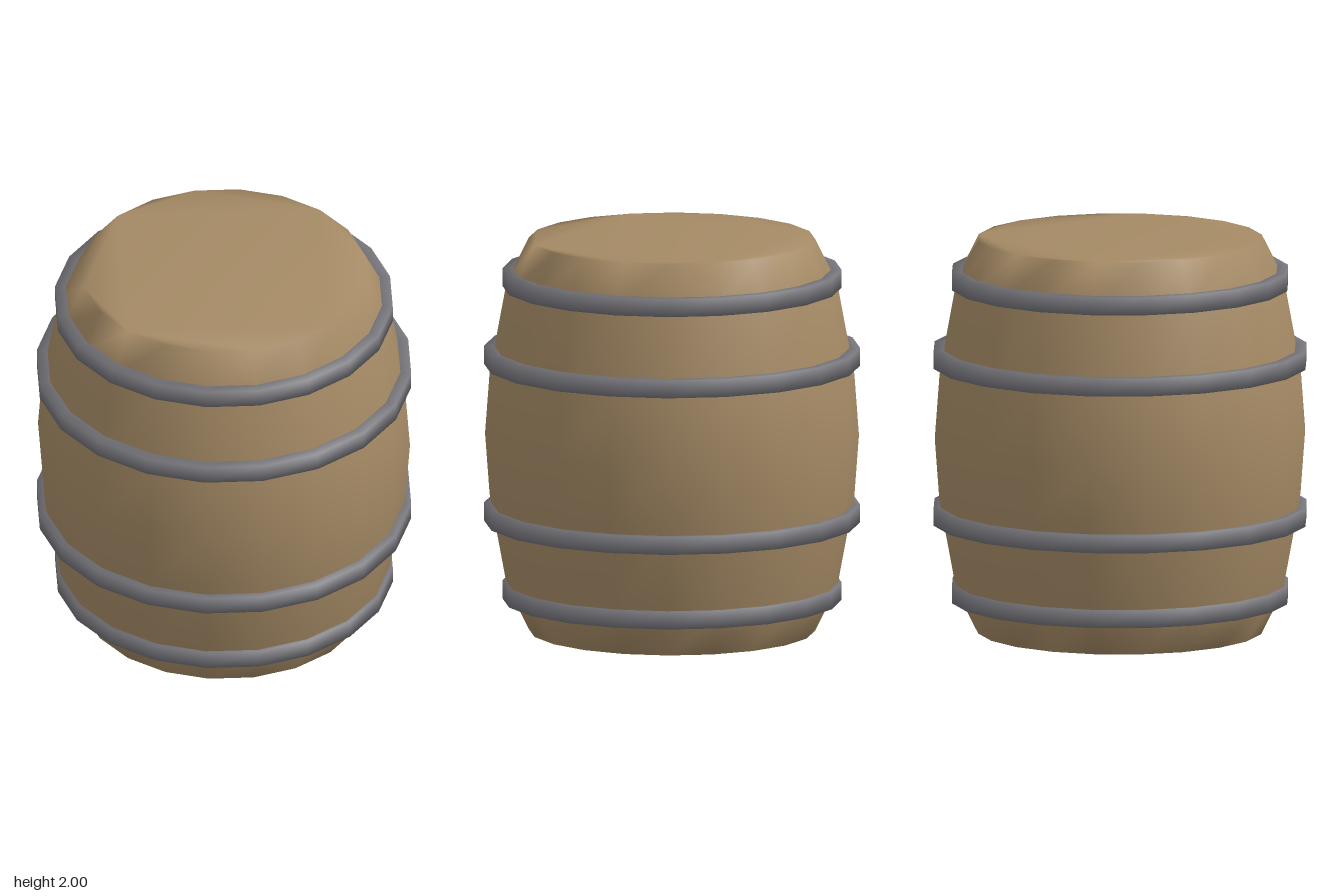
import * as THREE from 'three';

const SIDES = 20;

// Revolves a profile of [radius, y] points with shared vertices, so shading is smooth.
// A closed profile makes a ring; an open one (listed bottom to top) is capped at both ends.
function revolve(profile, closed) {
  const positions = [], index = [];
  const n = profile.length;
  for (const [r, y] of profile) {
    for (let j = 0; j < SIDES; j++) {
      const t = (j / SIDES) * Math.PI * 2;
      positions.push(r * Math.cos(t), y, r * Math.sin(t));
    }
  }
  for (let i = 0; i < (closed ? n : n - 1); i++) {
    const lo = i * SIDES, hi = ((i + 1) % n) * SIDES;
    for (let j = 0; j < SIDES; j++) {
      const k = (j + 1) % SIDES;
      index.push(lo + j, hi + j, lo + k, lo + k, hi + j, hi + k);
    }
  }
  if (!closed) {
    addCap(index, 0, false);
    addCap(index, (n - 1) * SIDES, true);
  }
  const geometry = new THREE.BufferGeometry();
  geometry.setAttribute('position', new THREE.Float32BufferAttribute(positions, 3));
  geometry.setIndex(index);
  geometry.computeVertexNormals();
  return geometry;
}

// Flat head: a central square with the four rim segments halved repeatedly.
function addCap(index, base, up) {
  const tri = (a, b, c) => {
    const [p, q, r] = [a, b, c].map((v) => base + (v % SIDES));
    index.push(p, ...(up ? [r, q] : [q, r]));
  };
  const fill = (a, b) => {
    if (b - a < 2) return;
    const m = Math.floor((a + b) / 2);
    tri(a, m, b);
    fill(a, m);
    fill(m, b);
  };
  const q = SIDES / 4;
  tri(0, q, 2 * q);
  tri(0, 2 * q, 3 * q);
  for (let s = 0; s < 4; s++) fill(s * q, (s + 1) * q);
}

export function createModel() {
  const wood = new THREE.MeshStandardMaterial({ color: 0xa58a65 });
  wood.name = 'wood';
  const iron = new THREE.MeshStandardMaterial({ color: 0x76767c });
  iron.name = 'iron';

  const model = new THREE.Group();
  model.name = 'barrel';

  // Bulging body with flat heads
  const body = new THREE.Mesh(
    revolve([[0.72, 0], [0.83, 0.22], [0.917, 0.69], [0.94, 1],
      [0.917, 1.31], [0.83, 1.78], [0.72, 2]], false),
    wood
  );
  body.name = 'body';
  model.add(body);

  // Hoops, two sizes, mirrored about mid height
  const h = 0.045;
  for (const [name, radius, offset] of [['endHoop', 0.853, 0.798], ['middleHoop', 0.946, 0.4]]) {
    const inner = radius - 0.1;
    const geometry = revolve([[radius, -h], [radius, h], [inner, h], [inner, -h]], true);
    for (const side of [-1, 1]) {
      const hoop = new THREE.Mesh(geometry, iron);
      hoop.name = (side > 0 ? 'upper ' : 'lower ') + name;
      hoop.position.y = 1 + side * offset;
      model.add(hoop);
    }
  }
  return model;
}
